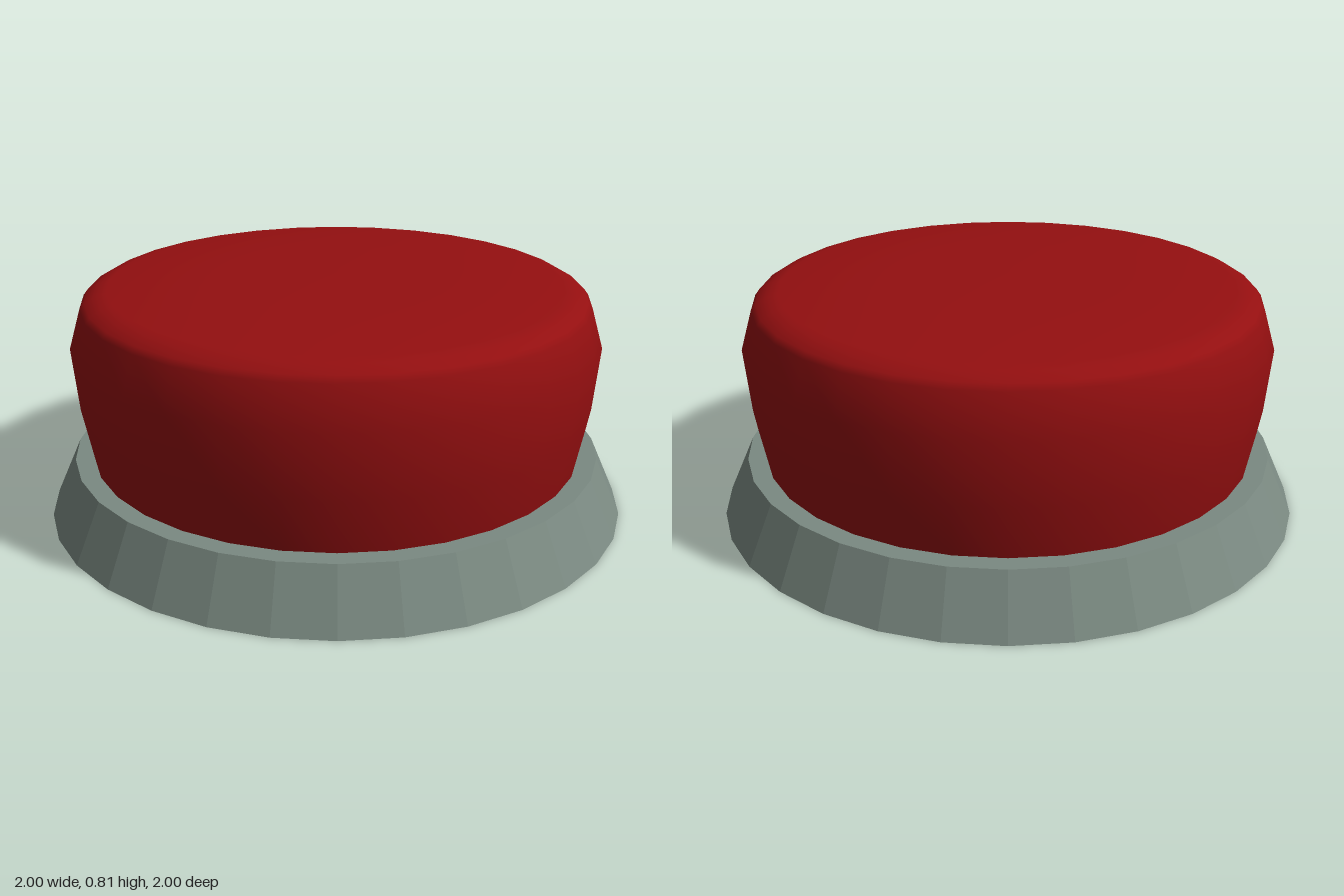
import * as THREE from 'three';

export function createModel() {
  const model = new THREE.Group();
  const grey = new THREE.MeshStandardMaterial({ name: 'greyMetal', color: 0x7b8a82 });
  const red = new THREE.MeshStandardMaterial({ name: 'redPlastic', color: 0x940f10 });
  const SIDES = 32;

  // Faceted, tapering base plate
  const baseGeometry = new THREE.CylinderGeometry(0.91, 1, 0.2, SIDES).toNonIndexed();
  baseGeometry.computeVertexNormals();
  const base = new THREE.Mesh(baseGeometry, grey);
  base.name = 'base';
  base.position.y = 0.1;
  model.add(base);

  // Smooth push button, bulging at the middle with a slightly domed top
  const profile = [
    [0.84, 0.19], [0.845, 0.2], [0.88, 0.38], [0.9, 0.6], [0.86, 0.735], [0.845, 0.755],
    [0.81, 0.775], [0.77, 0.785], [0.57, 0.802], [0.36, 0.81], [0, 0.812],
  ].map(([r, y]) => new THREE.Vector2(r, y));
  const button = new THREE.Mesh(new THREE.LatheGeometry(profile, SIDES), red);
  button.name = 'button';
  model.add(button);

  return model;
}
